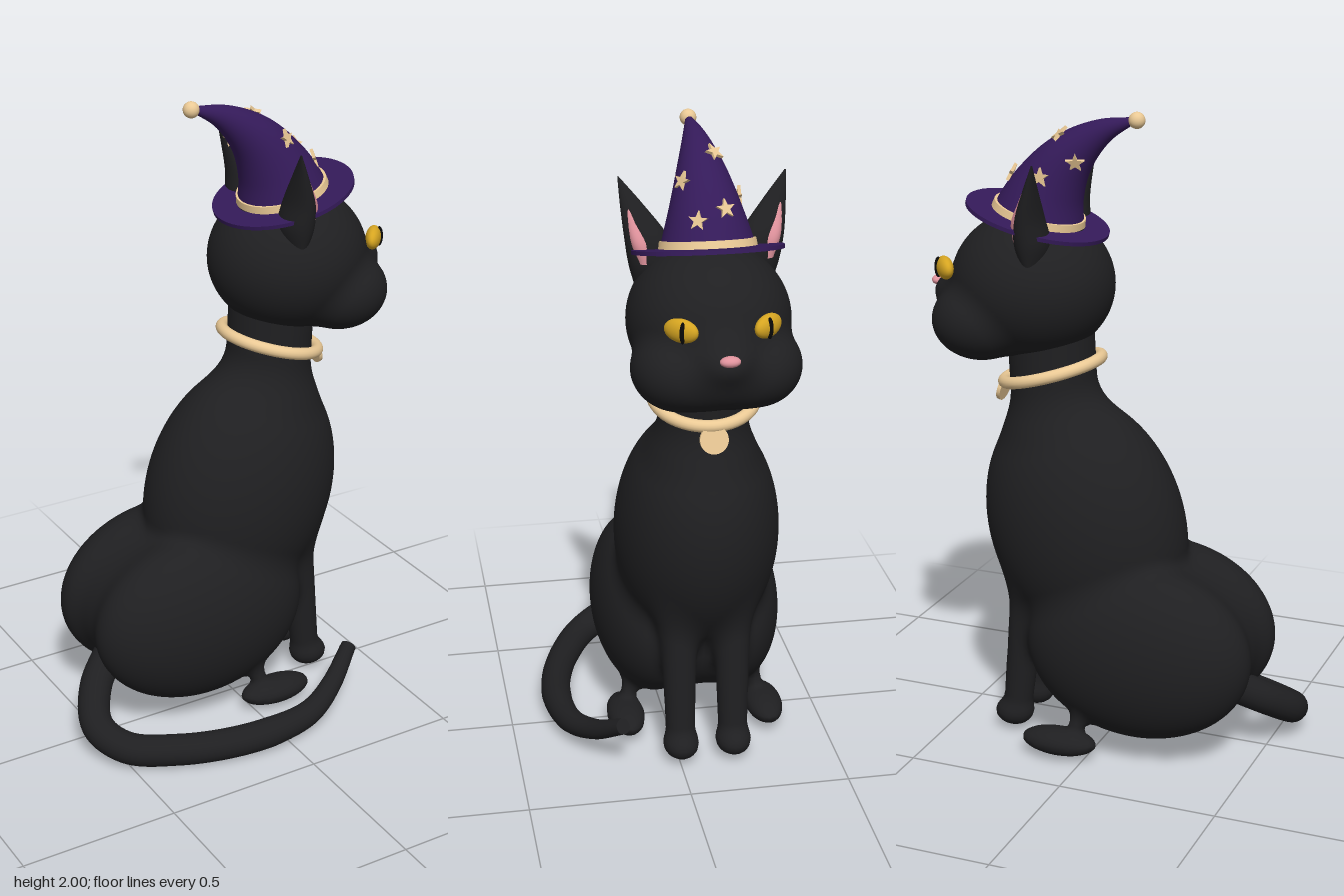
import * as THREE from 'three';

const mat = (color) => new THREE.MeshStandardMaterial({ color });
const fur = mat(0x1f1f21), purple = mat(0x341a59), gold = mat(0xeac995);
const amber = mat(0xd6a521), pink = mat(0xdf929c), black = mat(0x080808);
const V = (x, y, z = 0) => new THREE.Vector3(x, y, z);

// Distance fields, mirrored in z: [distance function, blend width]
function ellipsoid([cx, cy, cz], [rx, ry, rz], k, tilt = 0) {
  const c = Math.cos(tilt), s = Math.sin(tilt);
  return [(x, y, z) => {
    const dx = x - cx, dy = y - cy, u = (c * dx + s * dy) / rx, v = (c * dy - s * dx) / ry, w = (Math.abs(z) - cz) / rz;
    const k0 = Math.hypot(u, v, w);
    return k0 * (k0 - 1) / (Math.hypot(u / rx, v / ry, w / rz) + 1e-9);
  }, k];
}
function limb(a, b, ra, rb, k) {
  const A = V(...a), d = V(...b).sub(A), p = V(0, 0);
  return [(x, y, z) => {
    p.set(x, y, Math.abs(z)).sub(A);
    const t = THREE.MathUtils.clamp(p.dot(d) / d.lengthSq(), 0, 1);
    return p.addScaledVector(d, -t).length() - (ra + (rb - ra) * t);
  }, k];
}

// One smooth skin over softly blended fields, meshed on a grid from lo to hi
function skin(parts, lo, hi, h) {
  const f = (x, y, z) => parts.reduce((d, [fn, k]) => {
    const e = fn(x, y, z), m = Math.max(k - Math.abs(d - e), 0) / k;
    return Math.min(d, e) - m * m * k / 4;
  }, 10);
  const grad = (x, y, z, e = 0.002) => V(f(x + e, y, z) - f(x - e, y, z),
    f(x, y + e, z) - f(x, y - e, z), f(x, y, z + e) - f(x, y, z - e)).divideScalar(2 * e);
  const [nx, ny, nz] = lo.map((l, i) => Math.ceil((hi[i] - l) / h) + 1);
  const step = [1, nx, nx * ny], val = new Float32Array(nx * ny * nz), id = new Int32Array(val.length).fill(-1);
  const each = (start, end, fn) => {
    for (let z = start; z < nz - end; z++) for (let y = start; y < ny - end; y++)
      for (let x = start; x < nx - end; x++) fn(x, y, z, x + y * step[1] + z * step[2]);
  };
  each(0, 0, (x, y, z, n) => { val[n] = f(lo[0] + x * h, lo[1] + y * h, lo[2] + z * h); });
  const pos = [], nor = [], idx = [];
  // One vertex per crossed cell, at the mean of its edge crossings
  each(0, 1, (x, y, z, n) => {
    const p = V(0, 0);
    let count = 0;
    for (let a = 0; a < 8; a++) for (let axis = 0; axis < 3; axis++) {
      if (a >> axis & 1) continue;
      const o = [a & 1, a >> 1 & 1, a >> 2 & 1], m = n + o[0] + o[1] * step[1] + o[2] * step[2];
      const va = val[m], vb = val[m + step[axis]];
      if ((va < 0) === (vb < 0)) continue;
      o[axis] = va / (va - vb);
      p.add(V(...o));
      count++;
    }
    if (!count) return;
    p.divideScalar(count).add(V(x, y, z)).multiplyScalar(h).add(V(...lo));
    const g = grad(p.x, p.y, p.z);
    p.addScaledVector(g, -f(p.x, p.y, p.z) / g.lengthSq());
    g.normalize();
    id[n] = pos.length / 3;
    pos.push(p.x, p.y, p.z);
    nor.push(g.x, g.y, g.z);
  });
  // One quad per crossed grid edge
  each(1, 1, (x, y, z, n) => {
    for (let axis = 0; axis < 3; axis++) {
      if ((val[n] < 0) === (val[n + step[axis]] < 0)) continue;
      const u = step[(axis + 1) % 3], v = step[(axis + 2) % 3];
      const q = [id[n - u - v], id[n - v], id[n], id[n - u]];
      if (val[n] >= 0) q.reverse();
      idx.push(q[0], q[1], q[2], q[0], q[2], q[3]);
    }
  });
  return geometry(pos, idx, nor);
}

function geometry(pos, idx, nor) {
  const g = new THREE.BufferGeometry();
  g.setAttribute('position', new THREE.Float32BufferAttribute(pos, 3));
  g.setIndex(idx);
  if (nor) g.setAttribute('normal', new THREE.Float32BufferAttribute(nor, 3));
  else g.computeVertexNormals();
  return g;
}

// Smooth loft through elliptical sections [x, y, z, rx, rz, tilt about z]
function sampler(sections) {
  const curve = (pts) => new THREE.CatmullRomCurve3(pts, false, 'catmullrom', 0.5);
  const centres = curve(sections.map((s) => V(s[0], s[1], s[2])));
  const sizes = curve(sections.map((s) => V(s[3], s[4], s[5] || 0)));
  return (t) => ({ c: centres.getPoint(t), s: sizes.getPoint(t) });
}
function loft(sections, rings = 30, sides = 36) {
  const at = sampler(sections), pos = [], idx = [];
  for (let i = 0; i <= rings; i++) {
    const { c, s } = at(i / rings);
    for (let j = 0; j < sides; j++) {
      const a = (j / sides) * Math.PI * 2, u = s.x * Math.cos(a);
      pos.push(c.x + u * Math.cos(s.z), c.y + u * Math.sin(s.z), c.z + s.y * Math.sin(a));
      const p = i * sides + j, q = i * sides + ((j + 1) % sides);
      if (i < rings) idx.push(p, p + sides, q, q, p + sides, q + sides);
    }
  }
  return geometry(pos, idx);
}

export function createModel() {
  const cat = new THREE.Group(), model = new THREE.Group();
  model.name = 'catInHat';
  cat.name = 'cat';
  cat.position.z = -0.09;
  model.add(cat);
  const add = (name, geo, material, parent = cat) => {
    const m = new THREE.Mesh(geo, material);
    m.name = name;
    parent.add(m);
    return m;
  };
  const ball = (name, material, p, r) => {
    const m = add(name, new THREE.SphereGeometry(1, 32, 24), material);
    m.position.set(...p);
    m.scale.set(...r);
    return m;
  };

  // Body: chest, neck, rump, haunches, legs and paws
  add('body', skin([
    ellipsoid([0.077, 0.71, 0], [0.315, 0.42, 0.256], 0.05, -0.3),
    limb([0.18, 1.05, 0], [0.195, 1.36, 0], 0.134, 0.134, 0.08),
    ellipsoid([-0.13, 0.36, 0], [0.352, 0.268, 0.24], 0.04),
    ellipsoid([-0.143, 0.358, 0.122], [0.363, 0.282, 0.182], 0.04),
    limb([0.225, 0.64, 0.085], [0.286, 0.08, 0.084], 0.062, 0.045, 0.05),
    ellipsoid([0.3, 0.06, 0.084], [0.06, 0.043, 0.053], 0.03),
    limb([0.01, 0.17, 0.19], [0.04, 0.065, 0.222], 0.03, 0.022, 0.03),
    ellipsoid([0.08, 0.058, 0.228], [0.122, 0.042, 0.06], 0.02),
  ], [-0.58, -0.04, -0.36], [0.46, 1.54, 0.36], 0.016), fur);

  // Head: skull, cheeks, chin and muzzle
  add('head', skin([
    ellipsoid([0.25, 1.465, 0], [0.253, 0.227, 0.242], 0.05),
    ellipsoid([0.375, 1.363, 0.108], [0.153, 0.123, 0.142], 0.03),
    ellipsoid([0.41, 1.345, 0], [0.125, 0.092, 0.12], 0.05),
    ellipsoid([0.448, 1.42, 0], [0.128, 0.07, 0.085], 0.07),
  ], [-0.05, 1.18, -0.3], [0.64, 1.74, 0.3], 0.014), fur);
  ball('nose', pink, [0.57, 1.447, 0], [0.021, 0.016, 0.03]);
  for (const s of [-1, 1]) {
    ball('eye', amber, [0.487, 1.517, s * 0.124], [0.024, 0.035, 0.055]).rotation.y = -s * 0.72;
    ball('pupil', black, [0.509, 1.517, s * 0.124], [0.012, 0.032, 0.008]).rotation.y = -s * 0.6;

    // Ears
    add('ear', loft([
      [0.18, 1.55, s * 0.145, 0.03, 0.06], [0.182, 1.62, s * 0.152, 0.05, 0.072], [0.182, 1.7, s * 0.172, 0.041, 0.064],
      [0.161, 1.79, s * 0.21, 0.02, 0.034], [0.139, 1.87, s * 0.246, 0.002, 0.002],
    ]), fur);
    add('innerEar', loft([
      [0.202, 1.63, s * 0.18, 0.028, 0.024], [0.201, 1.69, s * 0.193, 0.028, 0.028],
      [0.182, 1.75, s * 0.21, 0.018, 0.02], [0.159, 1.82, s * 0.23, 0.004, 0.004],
    ]), pink);
  }

  // Tail: a tube curled round the +z side, tapering to the tip
  const path = new THREE.CatmullRomCurve3([
    V(-0.4, 0.24, 0.0), V(-0.5, 0.17, 0.08), V(-0.55, 0.1, 0.19), V(-0.5, 0.062, 0.29), V(-0.36, 0.053, 0.37),
    V(-0.2, 0.053, 0.42), V(-0.05, 0.056, 0.434), V(0.1, 0.062, 0.41), V(0.22, 0.095, 0.35), V(0.335, 0.165, 0.275),
  ]);
  const segs = 80, sides = 20, tail = new THREE.TubeGeometry(path, segs, 0.052, sides);
  const tp = tail.attributes.position, v = V(0, 0);
  for (let i = 0; i < tp.count; i++) {
    const t = Math.floor(i / (sides + 1)) / segs, c = path.getPointAt(t);
    const k = 1 - 0.12 * t - 0.4 * Math.max(0, (t - 0.65) / 0.35);
    v.fromBufferAttribute(tp, i).sub(c).multiplyScalar(k).add(c);
    tp.setXYZ(i, v.x, v.y, v.z);
  }
  add('tail', tail, fur);
  const tip = add('tailTip', new THREE.CircleGeometry(0.025, sides), fur);
  tip.position.copy(path.getPoint(1));
  tip.lookAt(tip.position.clone().add(path.getTangent(1)));

  // Collar with round tag
  const collar = add('collar', new THREE.TorusGeometry(0.155, 0.019, 16, 56).rotateX(Math.PI / 2), gold);
  collar.position.set(0.188, 1.2, 0);
  collar.rotation.z = -0.27;
  const tag = add('collarTag', new THREE.CylinderGeometry(0.043, 0.043, 0.012, 32), gold);
  tag.position.set(0.354, 1.122, 0);
  tag.rotation.z = Math.PI / 2 + 0.27;

  // Pointed hat, bending backwards
  const hat = new THREE.Group(), tilt = 0.256;
  hat.name = 'hat';
  cat.add(hat);
  const brim = add('hatBrim', new THREE.CylinderGeometry(0.222, 0.222, 0.012, 56), purple, hat);
  brim.position.set(0.232, 1.67, 0);
  brim.rotation.z = tilt;
  const cone = [
    [0.23, 1.668, 0, 0.143, 0.143, tilt], [0.193, 1.765, 0, 0.111, 0.111, 0.42], [0.12, 1.865, 0, 0.075, 0.075, 0.75],
    [0.02, 1.94, 0, 0.038, 0.038, 1.05], [-0.085, 1.98, 0, 0.008, 0.008, 1.2],
  ];
  add('hatCone', loft(cone, 40, 48), purple, hat);
  const band = add('hatBand', new THREE.CylinderGeometry(0.141, 0.145, 0.022, 56), gold, hat);
  band.position.set(0.226, 1.686, 0);
  band.rotation.z = tilt;
  add('hatBobble', new THREE.SphereGeometry(0.025, 24, 16), gold, hat).position.set(-0.088, 1.978, 0);

  // Stars set on the cone surface
  const shape = new THREE.Shape();
  for (let i = 0; i < 10; i++) {
    const a = (i / 10) * Math.PI * 2 + Math.PI / 2, r = i % 2 ? 0.012 : 0.03;
    shape[i ? 'lineTo' : 'moveTo'](r * Math.cos(a), r * Math.sin(a));
  }
  const starGeo = new THREE.ExtrudeGeometry(shape, { depth: 0.01, bevelEnabled: false });
  const at = sampler(cone), spine = Array.from({ length: 50 }, (_, i) => at(i / 50));
  for (const p of [V(0.305, 1.81, -0.04), V(0.315, 1.78, 0.045), V(0.2, 1.865, 0.07),
    V(0.14, 1.925, -0.03), V(0.18, 1.81, -0.115), V(0.08, 1.85, -0.07)]) {
    const { c, s } = spine.reduce((a, b) => (b.c.distanceTo(p) < a.c.distanceTo(p) ? b : a));
    const n = p.clone().sub(c).normalize(), star = add('star', starGeo, gold, hat);
    star.position.copy(c).addScaledVector(n, s.x - 0.001);
    star.lookAt(star.position.clone().add(n));
  }
  return model;
}
